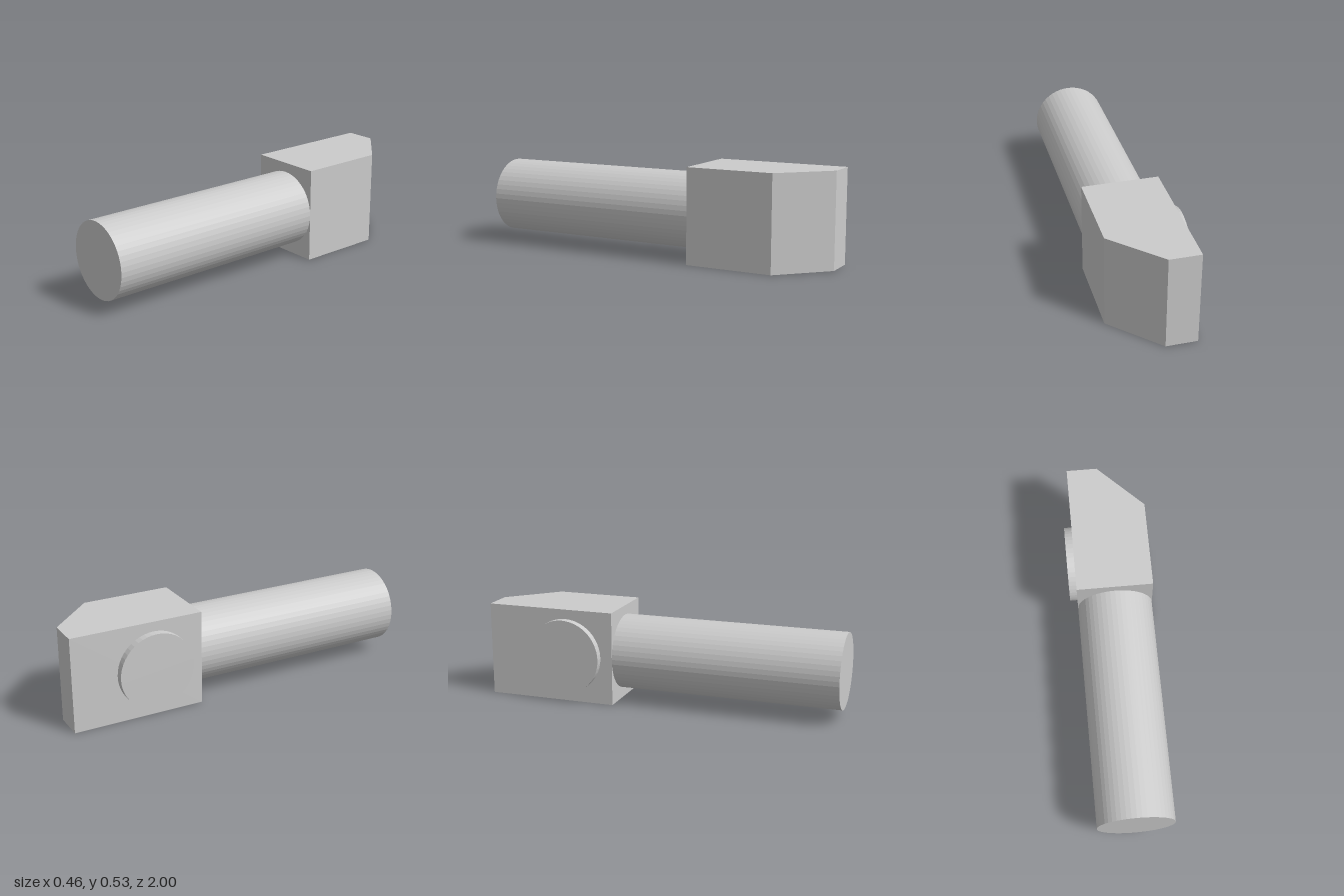
import * as THREE from 'three';

const RADIUS = 0.21, SIDES = 48, HEIGHT = 0.527;
const MID_Y = HEIGHT / 2, MID_X = 0.02;

export function createModel() {
  const group = new THREE.Group();
  const material = new THREE.MeshStandardMaterial({ color: 0xcccccc, flatShading: true });

  const add = (name, geometry, x, y, z) => {
    const mesh = new THREE.Mesh(geometry, material);
    mesh.name = name;
    mesh.position.set(x, y, z);
    group.add(mesh);
  };

  // Long round shaft pointing forward
  const front = 1, back = -0.262;
  const shaft = new THREE.CylinderGeometry(RADIUS, RADIUS, front - back, SIDES).rotateX(Math.PI / 2);
  add('shaft', shaft, MID_X, MID_Y, (front + back) / 2);

  // Block head with one chamfered rear corner: plan outline in (x, z), extruded vertically
  const outline = new THREE.Shape([
    [-0.19, back], [-0.19, -1], [-0.02, -1], [0.23, -0.75], [0.23, back],
  ].map(([x, z]) => new THREE.Vector2(x, z)));
  const head = new THREE.ExtrudeGeometry(outline, { depth: HEIGHT, bevelEnabled: false }).rotateX(Math.PI / 2);
  add('head', head, 0, HEIGHT, 0);

  // Shallow round boss on the flat side of the head
  const boss = new THREE.CylinderGeometry(RADIUS, RADIUS, 0.042, SIDES).rotateZ(Math.PI / 2);
  add('sideBoss', boss, -0.211, MID_Y, -0.54);

  return group;
}
